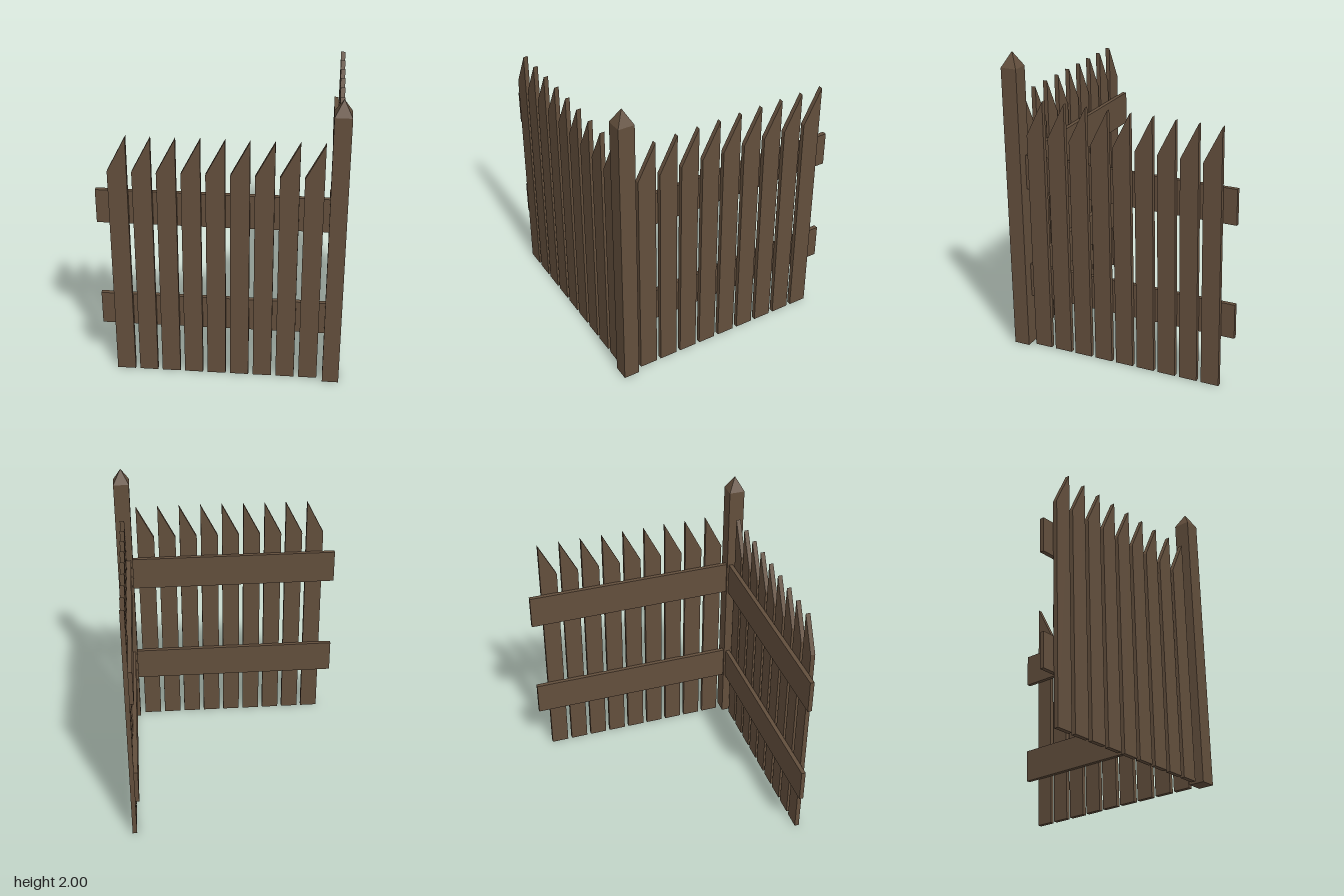
import * as THREE from 'three';

const wood = new THREE.MeshStandardMaterial({ color: 0x624e3c });
wood.name = 'brown wood';

const RAIL_BACK = 0.675, RAIL_FRONT = 0.703, PICKET_FRONT = 0.733;
const PICKET_WIDTH = 0.119, PICKET_STEP = 0.1488, PICKET_COUNT = 9;

function addMesh(parent, name, geometry, x = 0, y = 0, z = 0) {
  const mesh = new THREE.Mesh(geometry, wood);
  mesh.name = name;
  mesh.position.set(x, y, z);
  parent.add(mesh);
  return mesh;
}

// Board with a slanted top, higher on its +x edge
function picketGeometry() {
  const shape = new THREE.Shape([
    new THREE.Vector2(0, 0),
    new THREE.Vector2(PICKET_WIDTH, 0),
    new THREE.Vector2(PICKET_WIDTH, 1.71),
    new THREE.Vector2(0, 1.475),
  ]);
  return new THREE.ExtrudeGeometry(shape, { depth: PICKET_FRONT - RAIL_FRONT, bevelEnabled: false });
}

// One run of fence facing +z: two rails behind a row of pickets
function fencePanel(name, picketStart, railStart, railEnd) {
  const panel = new THREE.Group();
  panel.name = name;
  const rail = new THREE.BoxGeometry(railEnd - railStart, 0.23, RAIL_FRONT - RAIL_BACK);
  const railX = (railStart + railEnd) / 2, railZ = (RAIL_BACK + RAIL_FRONT) / 2;
  addMesh(panel, 'lowerRail', rail, railX, 0.456, railZ);
  addMesh(panel, 'upperRail', rail, railX, 1.213, railZ);
  const picket = picketGeometry();
  for (let i = 0; i < PICKET_COUNT; i++) {
    addMesh(panel, 'picket', picket, picketStart + i * PICKET_STEP, 0, RAIL_FRONT);
  }
  return panel;
}

// Square corner post with a pyramid cap
function cornerPost() {
  const post = new THREE.Group();
  post.name = 'cornerPost';
  const width = 0.106, shoulder = 1.903;
  addMesh(post, 'postShaft', new THREE.BoxGeometry(width, shoulder, width), 0, shoulder / 2, 0);
  const cap = new THREE.ConeGeometry(width / Math.SQRT2, 2 - shoulder, 4, 1, true).rotateY(Math.PI / 4).toNonIndexed();
  cap.computeVertexNormals();
  addMesh(post, 'postCap', cap, 0, (2 + shoulder) / 2, 0);
  post.position.set(0.715, 0, 0.715);
  return post;
}

export function createModel() {
  const model = new THREE.Group();
  model.name = 'cornerFence';
  model.add(fencePanel('frontPanel', -0.684, -0.77, 0.7));
  // The side run turns so that its local +x leads away from the post
  const side = fencePanel('sidePanel', -0.627, -0.7, 0.77);
  side.rotation.y = Math.PI / 2;
  model.add(side);
  model.add(cornerPost());
  return model;
}
